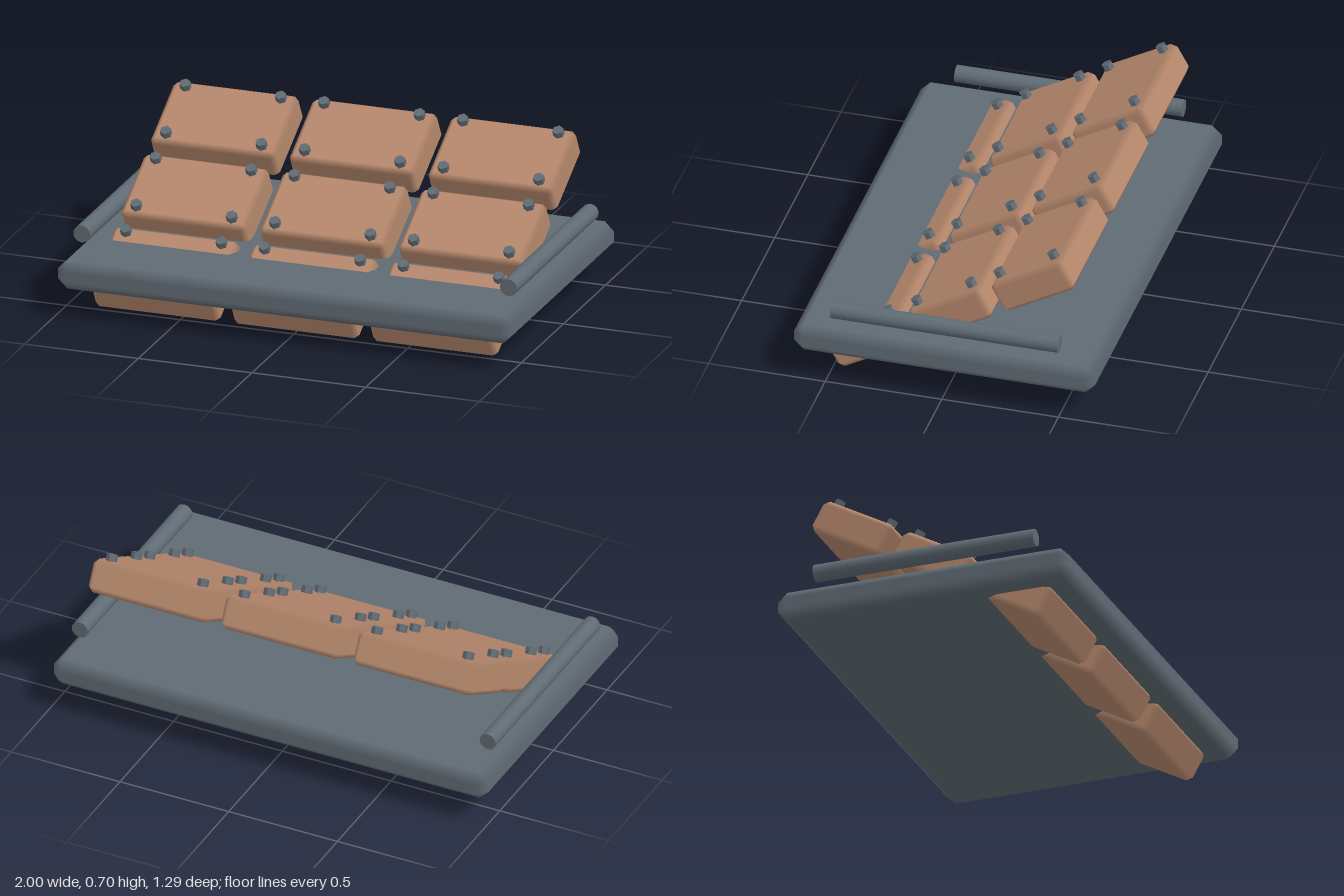
import * as THREE from 'three';
import { ConvexGeometry } from 'three/addons/geometries/ConvexGeometry.js';

const slate = new THREE.MeshStandardMaterial({ color: 0x606b74 });
slate.name = 'slate metal';
const copper = new THREE.MeshStandardMaterial({ color: 0xb6886c });
copper.name = 'copper clay';

// Box with chamfered edges; flat main faces, softly shaded chamfers
function chamferedBox(w, h, d, c) {
  const half = [w / 2, h / 2, d / 2];
  const points = [];
  for (let axis = 0; axis < 3; axis++)
    for (const sx of [-1, 1]) for (const sy of [-1, 1]) for (const sz of [-1, 1]) {
      const p = [sx, sy, sz].map((s, i) => s * (half[i] - (i === axis ? 0 : c)));
      points.push(new THREE.Vector3(...p));
    }
  const geometry = new ConvexGeometry(points);
  const pos = geometry.attributes.position;
  const normal = geometry.attributes.normal;
  for (let i = 0; i < pos.count; i++) {
    const p = [pos.getX(i), pos.getY(i), pos.getZ(i)];
    const n = p.map((v, k) => (Math.abs(Math.abs(v) - half[k]) < 1e-4 ? Math.sign(v) : 0));
    normal.setXYZ(i, ...n);
  }
  return geometry;
}

function addMesh(parent, name, geometry, material, x, y, z) {
  const mesh = new THREE.Mesh(geometry, material);
  mesh.name = name;
  mesh.position.set(x, y, z);
  parent.add(mesh);
  return mesh;
}

export function createModel() {
  const model = new THREE.Group();
  model.name = 'tiledPanel';

  // Base plate
  addMesh(model, 'basePlate', chamferedBox(2, 0.125, 1.29, 0.041), slate, 0, 0.1775, 0);

  // Side rails
  const railGeometry = new THREE.CylinderGeometry(0.037, 0.037, 0.975, 16);
  railGeometry.rotateX(Math.PI / 2);
  for (const side of [-1, 1])
    addMesh(model, side > 0 ? 'leftRail' : 'rightRail', railGeometry, slate, side * 0.938, 0.317, 0);

  // Three sloping rows of tiles, each with four hexagonal bolts
  const tileGeometry = chamferedBox(0.55, 0.143, 0.35, 0.022);
  const boltGeometry = new THREE.CylinderGeometry(0.024, 0.024, 0.05, 6).toNonIndexed();
  boltGeometry.computeVertexNormals();
  for (let row = 0; row < 3; row++)
    for (let column = -1; column <= 1; column++) {
      const tile = new THREE.Group();
      tile.name = 'boltedTile';
      tile.position.set(column * 0.61, 0.137 + row * 0.199, 0.354 - row * 0.3535);
      tile.rotation.x = THREE.MathUtils.degToRad(29);
      addMesh(tile, 'tile', tileGeometry, copper, 0, 0, 0);
      for (const sx of [-1, 1])
        for (const sz of [-1, 1])
          addMesh(tile, 'bolt', boltGeometry, slate, sx * 0.21, 0.075, sz * 0.132);
      model.add(tile);
    }

  return model;
}
